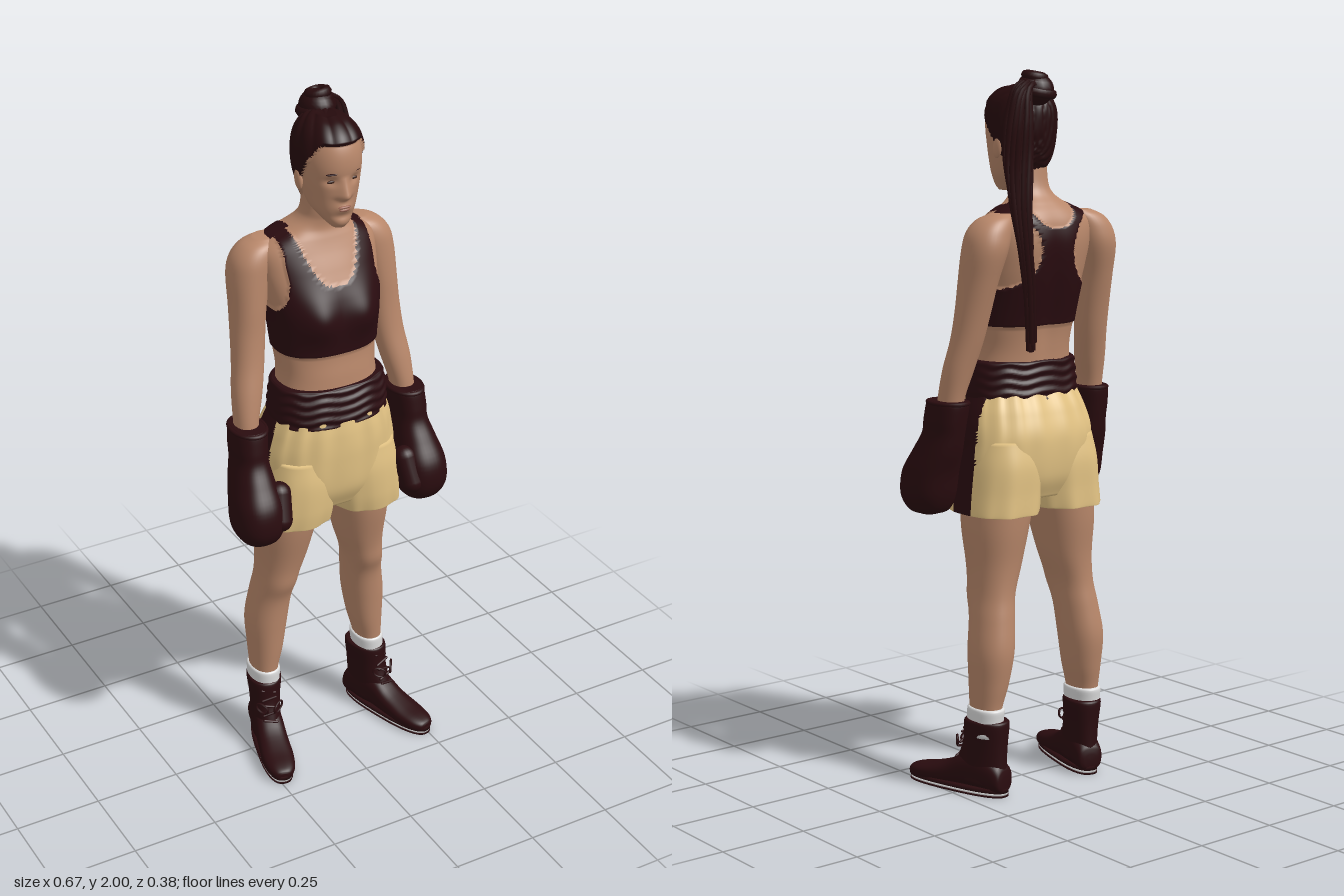
import * as THREE from 'three';

const mat = (name, color) => Object.assign(new THREE.MeshStandardMaterial({ color }), { name });
const skin = mat('skin', 0xb8876a), hair = mat('hair', 0x260b0d), cloth = mat('darkCloth', 0x2a0c10),
  leather = mat('darkLeather', 0x2a0c0f), gold = mat('goldSatin', 0xe3c384), white = mat('white', 0xdcdcdc),
  lip = mat('lips', 0x9a6453), eyeDark = mat('eyes', 0x3a2018);

const bump = (d, w) => Math.exp(-(d * d) / (w * w));
const flip = (rows, s) => (s > 0 ? rows : rows.map(([y, a, b, c, d]) => [y, -b, -a, c, d]));

// Smooth skin through cross-sections, bottom to top: [y, xMin, xMax, zMin, zMax]
function loft(rows, { n = 40, m = 32, p = 2.2, deform, paint } = {}) {
  const spline = new THREE.CubicInterpolant(rows.map((_, i) => i), rows.flat(), 5, new Float32Array(5));
  const pos = [], v = new THREE.Vector3(), faces = [[], []];
  const round = (t) => Math.sign(t) * Math.abs(t) ** (2 / p);
  for (let i = 0; i <= m; i++) {
    const [y, x0, x1, z0, z1] = spline.evaluate((i / m) * (rows.length - 1));
    for (let j = 0; j < n; j++) {
      const a = (j / n) * Math.PI * 2;
      v.set((x0 + x1) / 2 + ((x1 - x0) / 2) * round(Math.cos(a)), y, (z0 + z1) / 2 + ((z1 - z0) / 2) * round(Math.sin(a)));
      if (deform) deform(v, a, i / m);
      pos.push(v.x, v.y, v.z);
    }
  }
  const add = (a, b, c) => {
    const mid = (k) => (pos[a * 3 + k] + pos[b * 3 + k] + pos[c * 3 + k]) / 3;
    faces[paint && paint(mid(0), mid(1), mid(2)) ? 1 : 0].push(a, b, c);
  };
  for (let i = 0; i < m; i++) for (let j = 0; j < n; j++) {
    const a = i * n + j, b = i * n + ((j + 1) % n);
    add(a, a + n, b);
    add(b, a + n, b + n);
  }
  for (const end of [0, m]) {
    const r = rows[end ? rows.length - 1 : 0], c = pos.length / 3;
    pos.push((r[1] + r[2]) / 2, r[0], (r[3] + r[4]) / 2);
    for (let j = 0; j < n; j++) {
      const a = end * n + j, b = end * n + ((j + 1) % n);
      end ? add(c, b, a) : add(c, a, b);
    }
  }
  const g = new THREE.BufferGeometry();
  g.setAttribute('position', new THREE.Float32BufferAttribute(pos, 3));
  g.setIndex([...faces[0], ...faces[1]]);
  if (paint) {
    g.addGroup(0, faces[0].length, 0);
    g.addGroup(faces[0].length, faces[1].length, 1);
  }
  g.computeVertexNormals();
  return g;
}

// Sports top: scooped front, racer back
function inTop(x, y, z) {
  const ax = Math.abs(x);
  if (y < 1.312 || y > 1.665) return false;
  if (z > -0.05) {
    const arm = 0.13 + 0.03 * (Math.max(0, 1.53 - y) / 0.09) ** 2;
    return y < 1.505 + 0.1 * (ax / 0.085) ** 3 && !(y > 1.44 && ax > arm);
  }
  return y < 1.58 + 0.06 * (ax / 0.08) ** 3 && ((ax - 0.17) / 0.115) ** 2 + ((y - 1.52) / 0.105) ** 2 > 1;
}
const inHair = (x, y, z) => y > 1.907 || z < 0.06 - (1.9 - y) * 0.62;
const inStripe = (x, y, z) => Math.abs(x) > 0.1 && z > -0.045 && z < 0.035;

export function createModel() {
  const model = new THREE.Group();
  const put = (name, geo, material, parent = model) => {
    const mesh = new THREE.Mesh(geo, material);
    mesh.name = name;
    parent.add(mesh);
    return mesh;
  };
  const blob = (name, material, at, size) => {
    const mesh = put(name, new THREE.SphereGeometry(1, 20, 14), material);
    mesh.position.set(...at);
    mesh.scale.set(...size);
    return mesh;
  };

  // Torso, neck and sports top
  put('torso', loft([
    [1.16, -0.152, 0.152, -0.1, 0.115], [1.24, -0.14, 0.14, -0.105, 0.108], [1.31, -0.146, 0.146, -0.115, 0.1],
    [1.4, -0.153, 0.153, -0.14, 0.106], [1.47, -0.163, 0.163, -0.155, 0.093], [1.54, -0.172, 0.172, -0.162, 0.062],
    [1.59, -0.17, 0.17, -0.155, 0.036], [1.62, -0.14, 0.14, -0.142, 0.022], [1.645, -0.088, 0.092, -0.122, 0.012],
    [1.67, -0.056, 0.062, -0.1, 0.012], [1.7, -0.046, 0.055, -0.088, 0.018], [1.76, -0.046, 0.056, -0.08, 0.02],
  ], {
    n: 128, m: 130, p: 2.3, paint: inTop,
    deform(v) {
      const ax = Math.abs(v.x), f = v.z > 0 ? 1 : 0;
      v.z += f * 0.02 * bump(ax - 0.07, 0.05) * bump(v.y - 1.42, 0.06);
      if (v.z < -0.05) v.z += 0.012 * bump(v.x, 0.03) * bump(v.y - 1.38, 0.16); // spine groove
      if (inTop(v.x, v.y, v.z)) { v.x *= 1.025; v.z += Math.sign(v.z + 0.03) * 0.004; }
    },
  }), [skin, cloth]);

  // Head with cornrowed hair
  put('head', loft([
    [1.674, -0.012, 0.026, 0.035, 0.08], [1.69, -0.027, 0.04, 0.0, 0.092], [1.72, -0.047, 0.063, -0.055, 0.094],
    [1.76, -0.058, 0.078, -0.085, 0.095], [1.8, -0.066, 0.087, -0.1, 0.097], [1.85, -0.07, 0.092, -0.108, 0.101],
    [1.89, -0.066, 0.09, -0.11, 0.095], [1.92, -0.055, 0.08, -0.1, 0.079], [1.942, -0.035, 0.06, -0.078, 0.05],
    [1.952, -0.01, 0.035, -0.045, 0.015],
  ], {
    n: 112, m: 90, p: 2.2, paint: inHair,
    deform(v) {
      if (inHair(v.x, v.y, v.z)) {
        const ridge = 0.007 + 0.004 * Math.abs(Math.sin(11 * Math.atan2(v.x - 0.03, v.z + 0.09)));
        const d = new THREE.Vector3(v.x - 0.012, v.y - 1.84, v.z).normalize();
        v.addScaledVector(d, ridge);
      } else if (v.z > 0.04) {
        const x = v.x - 0.005, ax = Math.abs(x);
        const slope = THREE.MathUtils.clamp((1.825 - v.y) / 0.05, 0, 1) * (v.y > 1.77 ? 1 : bump(v.y - 1.77, 0.011));
        v.z += 0.022 * slope * bump(x, 0.012 + 0.006 * slope);
        v.z -= 0.009 * bump(ax - 0.033, 0.016) * bump(v.y - 1.812, 0.012);
        v.z += 0.007 * bump(x, 0.022) * bump(v.y - 1.735, 0.012);
        v.z -= 0.005 * bump(x, 0.03) * bump(v.y - 1.71, 0.01);
      }
    },
  }), [skin, hair]);
  for (const s of [-1, 1]) {
    blob('eye', eyeDark, [0.005 + s * 0.033, 1.811, 0.0835], [0.012, 0.0045, 0.004]);
    blob('eyebrow', hair, [0.005 + s * 0.035, 1.834, 0.0905], [0.016, 0.0025, 0.004]).rotation.y = s * 0.3;
    blob('ear', skin, [0.011 + s * 0.083, 1.795, -0.012], [0.009, 0.03, 0.017]).rotation.x = -0.2;
  }
  blob('upperLip', lip, [0.005, 1.739, 0.098], [0.019, 0.004, 0.006]);
  blob('lowerLip', lip, [0.005, 1.731, 0.097], [0.016, 0.005, 0.006]);

  // Wrapped top knot
  blob('topKnot', hair, [0.03, 1.95, -0.095], [0.048, 0.045, 0.055]);
  for (let i = 0; i < 3; i++) {
    const ring = put('knotWrap', new THREE.TorusGeometry(0.042 - i * 0.009, 0.014, 8, 28), hair);
    ring.position.set(0.028 + i * 0.003, 1.945 + i * 0.02, -0.098);
    ring.rotation.set(Math.PI / 2 - 0.15, 0.12, 0);
  }

  // Ponytail of thin braids, spreading and then gathering
  const tail = [[0.04, 1.975, -0.1, 0.015], [0.085, 1.95, -0.112, 0.022], [0.103, 1.87, -0.118, 0.034],
    [0.11, 1.76, -0.12, 0.036], [0.12, 1.64, -0.143, 0.025], [0.118, 1.54, -0.16, 0.016],
    [0.108, 1.42, -0.168, 0.012], [0.1, 1.27, -0.167, 0.009]];
  for (let i = 0; i < 20; i++) {
    const a = i * 2.4, r = Math.sqrt((i + 0.5) / 20), count = i % 3 ? (i % 3 === 1 ? 7 : 6) : 8;
    const pts = tail.slice(0, count).map(([x, y, z, w], k) => new THREE.Vector3(
      x + Math.cos(a + k * 0.15) * r * w, y + Math.sin(i * 1.7) * (k > 2 ? 0.02 : 0.005), z + Math.sin(a + k * 0.15) * r * w * 1.3));
    put('braid', new THREE.TubeGeometry(new THREE.CatmullRomCurve3(pts), 40, 0.0075, 6), hair);
  }

  // Shorts and gathered waistband
  const pleat = (v, a, t) => {
    v.z += Math.sign(v.z) * 0.004 * Math.sin(a * 17) * t;
    v.x += Math.sign(v.x) * 0.003 * Math.sin(v.y * 50 + a * 5) * (1 - t);
  };
  put('shortsHips', loft([
    [0.835, -0.195, 0.195, -0.12, 0.1], [0.9, -0.203, 0.203, -0.147, 0.128], [1.0, -0.2, 0.2, -0.154, 0.136],
    [1.07, -0.187, 0.187, -0.135, 0.134], [1.125, -0.168, 0.168, -0.108, 0.125],
  ], { n: 112, m: 40, p: 2.4, deform: pleat, paint: inStripe }), [gold, cloth]);
  put('waistband', loft([
    [1.1, -0.168, 0.168, -0.107, 0.125], [1.11, -0.172, 0.172, -0.112, 0.131], [1.16, -0.17, 0.17, -0.108, 0.13],
    [1.205, -0.162, 0.162, -0.106, 0.124], [1.215, -0.155, 0.155, -0.1, 0.118],
  ], { n: 80, m: 50, p: 2.4, deform: (v, a) => { v.z += Math.sign(v.z) * 0.003 * Math.sin(v.y * 230 + Math.sin(a * 9)); } }), cloth);

  for (const s of [-1, 1]) {
    const side = s > 0 ? 'left' : 'right';

    put(side + 'ShortsLeg', loft(flip([
      [0.795, 0.008, 0.216, -0.148, 0.118], [0.8, 0.004, 0.218, -0.15, 0.121], [0.85, -0.002, 0.213, -0.15, 0.128],
      [0.93, -0.005, 0.204, -0.15, 0.13], [1.0, 0.01, 0.19, -0.135, 0.12],
    ], s), {
      n: 72, m: 30, p: 2.5, paint: inStripe,
      deform: (v, a, t) => { v.z += Math.sign(v.z) * 0.004 * Math.sin(a * 9) * (1 - t); },
    }), [gold, cloth]);

    // Legs with knee and calf
    put(side + 'Leg', loft(flip([
      [0.18, 0.142, 0.212, -0.108, -0.006], [0.25, 0.138, 0.213, -0.112, -0.004], [0.32, 0.121, 0.216, -0.126, 0.002],
      [0.41, 0.106, 0.219, -0.138, 0.008], [0.5, 0.096, 0.207, -0.128, 0.016], [0.57, 0.086, 0.197, -0.118, 0.034],
      [0.65, 0.06, 0.196, -0.12, 0.052], [0.75, 0.036, 0.202, -0.132, 0.075], [0.85, 0.012, 0.2, -0.138, 0.088],
    ], s), { m: 44, deform: (v) => { if (v.z > -0.02) v.z += 0.006 * bump(v.y - 0.56, 0.035); } }), skin);
    put(side + 'Sock', loft(flip([
      [0.17, 0.135, 0.22, -0.115, 0.002], [0.215, 0.134, 0.219, -0.117, 0.002],
      [0.245, 0.132, 0.219, -0.12, 0.002], [0.252, 0.137, 0.214, -0.113, -0.003],
    ], s), { m: 12 }), white);

    // Arm and shoulder
    put(side + 'Arm', loft(flip([
      [1.05, 0.22, 0.282, -0.03, 0.045], [1.12, 0.214, 0.28, -0.04, 0.04], [1.2, 0.193, 0.276, -0.06, 0.027],
      [1.28, 0.176, 0.264, -0.082, 0.01], [1.36, 0.165, 0.257, -0.103, 0.0], [1.44, 0.155, 0.252, -0.125, -0.004],
      [1.52, 0.135, 0.249, -0.146, -0.01], [1.57, 0.12, 0.238, -0.143, -0.016], [1.604, 0.11, 0.21, -0.13, -0.03],
      [1.622, 0.11, 0.17, -0.11, -0.055],
    ], s), { m: 44 }), skin);

    // Boxing glove: padded fist, cuff and thumb
    put(side + 'Glove', loft(flip([
      [0.79, 0.235, 0.285, 0.06, 0.115], [0.803, 0.207, 0.312, 0.03, 0.145], [0.845, 0.193, 0.332, 0.008, 0.165],
      [0.91, 0.194, 0.33, -0.008, 0.16], [0.97, 0.202, 0.315, -0.03, 0.125], [1.02, 0.207, 0.302, -0.042, 0.095],
      [1.06, 0.205, 0.301, -0.05, 0.088], [1.105, 0.201, 0.297, -0.056, 0.08], [1.114, 0.208, 0.29, -0.048, 0.072],
    ], s), { n: 48, m: 40, p: 2.4 }), leather);
    const thumb = put(side + 'GloveThumb', new THREE.CapsuleGeometry(0.033, 0.075, 8, 18), leather);
    thumb.position.set(s * 0.206, 0.895, 0.115);
    thumb.rotation.set(-0.35, 0, s * 0.12);
    const cuff = put(side + 'CuffRim', new THREE.TorusGeometry(0.047, 0.006, 8, 32), leather);
    cuff.scale.y = 1.4;
    cuff.rotation.x = Math.PI / 2;
    cuff.position.set(s * 0.249, 1.108, 0.012);

    // Lace-up boot, toes turned out
    const boot = new THREE.Group();
    boot.name = side + 'Boot';
    boot.position.set(s * 0.174, 0, -0.06);
    boot.rotation.y = s * 0.27;
    model.add(boot);
    put('bootFoot', loft([
      [-0.066, -0.02, 0.02, -0.06, -0.02], [-0.055, -0.038, 0.038, -0.09, -0.01], [0, -0.043, 0.043, -0.12, -0.008],
      [0.06, -0.043, 0.043, -0.115, -0.008], [0.12, -0.045, 0.045, -0.08, -0.008], [0.18, -0.047, 0.047, -0.06, -0.008],
      [0.23, -0.04, 0.04, -0.05, -0.008], [0.255, -0.026, 0.026, -0.042, -0.01], [0.262, -0.012, 0.012, -0.033, -0.015],
    ], { p: 2.5 }).rotateX(Math.PI / 2), leather, boot);
    put('bootShaft', loft([
      [0.03, -0.043, 0.043, -0.064, 0.115], [0.09, -0.042, 0.042, -0.062, 0.094], [0.15, -0.044, 0.044, -0.064, 0.073],
      [0.205, -0.05, 0.05, -0.068, 0.068], [0.216, -0.046, 0.046, -0.063, 0.063],
    ], { m: 20 }), leather, boot);
    const sole = (name, y0, y1, g, material) => put(name, loft([
      [y0, -0.046 - g, 0.046 + g, -0.068 - g, 0.264 + g], [y1, -0.046 - g, 0.046 + g, -0.068 - g, 0.264 + g],
    ], { m: 1, p: 2.6 }), material, boot);
    sole('outsole', 0, 0.005, 0, leather);
    sole('midsole', 0.005, 0.012, -0.002, white);
    sole('welt', 0.012, 0.024, 0, leather);

    // Laces and bow
    for (let i = 0; i < 5; i++) {
      const lace = put('lace', new THREE.CapsuleGeometry(0.004, 0.04, 4, 8), leather, boot);
      lace.position.set(0, 0.1 + i * 0.022, 0.092 - i * 0.007);
      lace.rotation.z = Math.PI / 2 + (i % 2 ? 0.25 : -0.25);
    }
    for (const b of [-1, 1]) {
      const loop = put('bowLoop', new THREE.TorusGeometry(0.02, 0.0035, 6, 20), leather, boot);
      loop.position.set(b * 0.024, 0.145, 0.085);
      loop.rotation.set(0, b * 0.7, b * 0.5);
      loop.scale.y = 0.7;
    }
  }
  return model;
}
